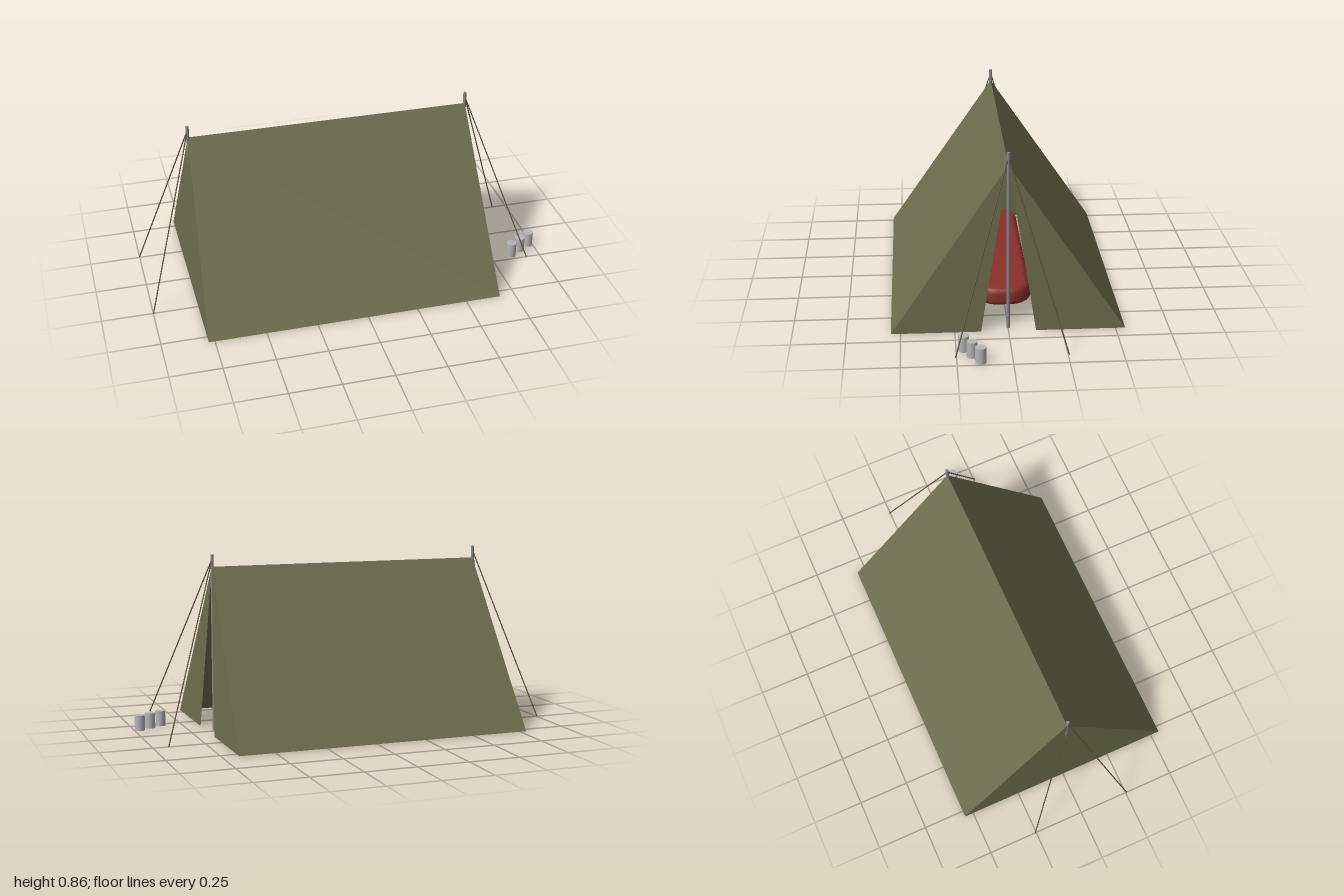
import * as THREE from 'three';
import { toCreasedNormals } from 'three/addons/utils/BufferGeometryUtils.js';
import { RoundedBoxGeometry } from 'three/addons/geometries/RoundedBoxGeometry.js';

const material = (name, color, side = THREE.FrontSide) => {
  const m = new THREE.MeshStandardMaterial({ color, side });
  m.name = name;
  return m;
};

export function createModel() {
  const canvas = material('olive canvas', 0x6c6d4d, THREE.DoubleSide);
  const metal = material('pole grey', 0x85868b);
  const cord = material('cord brown', 0x62553c);
  const red = material('bedroll red', 0x8a3029);
  const packCloth = material('pack olive', 0x58593f);
  const tin = material('tin grey', 0xb6b6b6);

  const model = new THREE.Group();
  model.name = 'tent';
  const add = (name, geometry, mat, x = 0, y = 0, z = 0) => {
    const mesh = new THREE.Mesh(geometry, mat);
    mesh.name = name;
    mesh.position.set(x, y, z);
    model.add(mesh);
    return mesh;
  };

  // Flat sheet from a fan of corners
  const sheet = (name, corners) => {
    const g = new THREE.BufferGeometry().setFromPoints(corners.map(c => new THREE.Vector3(...c)));
    const index = [];
    for (let i = 1; i < corners.length - 1; i++) index.push(0, i, i + 1);
    g.setIndex(index);
    g.computeVertexNormals();
    add(name, g, canvas);
  };

  // Canvas roof, closed end and door flaps
  const ridgeA = [-0.745, 0.803, 0], ridgeB = [0.64, 0.803, 0];
  const base = 0.545;
  for (const s of [1, -1]) {
    const roof = [ridgeA, [-0.78, 0, s * base], [0.673, 0, s * base], ridgeB];
    sheet('roofPanel', s > 0 ? roof : roof.reverse());
    const flap = [ridgeB, [0.673, 0, s * base], [0.673, 0, s * 0.128]];
    sheet('doorFlap', s > 0 ? flap : flap.reverse());
  }
  sheet('endWall', [ridgeA, [-0.78, 0, -base], [-0.78, 0, base]]);

  // Poles with a pair of guy ropes at each end
  for (const [x, foot] of [[-0.745, -1], [0.638, 0.927]]) {
    add('pole', new THREE.CylinderGeometry(0.008, 0.008, 0.862, 12), metal, x, 0.431, 0);
    for (const s of [1, -1]) {
      const path = new THREE.LineCurve3(
        new THREE.Vector3(x, 0.84, 0), new THREE.Vector3(foot, 0, s * 0.255));
      add('guyRope', new THREE.TubeGeometry(path, 1, 0.003, 6), cord);
    }
  }

  // Bedroll: rounded outline, bevelled and narrowing slightly upward
  const hx = 0.52, hz = 0.11, r = 0.08, bevel = 0.025;
  const outline = new THREE.Shape();
  outline.absarc(hx - r, hz - r, r, 0, Math.PI / 2);
  outline.absarc(r - hx, hz - r, r, Math.PI / 2, Math.PI);
  outline.absarc(r - hx, r - hz, r, Math.PI, Math.PI * 1.5);
  outline.absarc(hx - r, r - hz, r, Math.PI * 1.5, Math.PI * 2);
  const roll = new THREE.ExtrudeGeometry(outline, {
    depth: 0.038, bevelThickness: bevel, bevelSize: bevel, bevelSegments: 4, curveSegments: 8,
  });
  roll.rotateX(-Math.PI / 2).translate(0, bevel, 0);
  const p = roll.attributes.position;
  for (let i = 0; i < p.count; i++) {
    p.setZ(i, p.getZ(i) * (1 - 0.9 * p.getY(i)));
  }
  add('bedroll', toCreasedNormals(roll, 0.8), red, -0.14, 0, 0);

  // Backpack beside the door
  add('backpack', new RoundedBoxGeometry(0.2, 0.29, 0.16, 5, 0.05), packCloth, 0.34, 0.145, -0.28);

  // Row of tins outside
  for (let i = 0; i < 3; i++) {
    add('tin', new THREE.CylinderGeometry(0.025, 0.025, 0.075, 16), tin,
      0.855 + i * 0.0595, 0.0375, 0.216 - i * 0.036);
  }
  return model;
}
